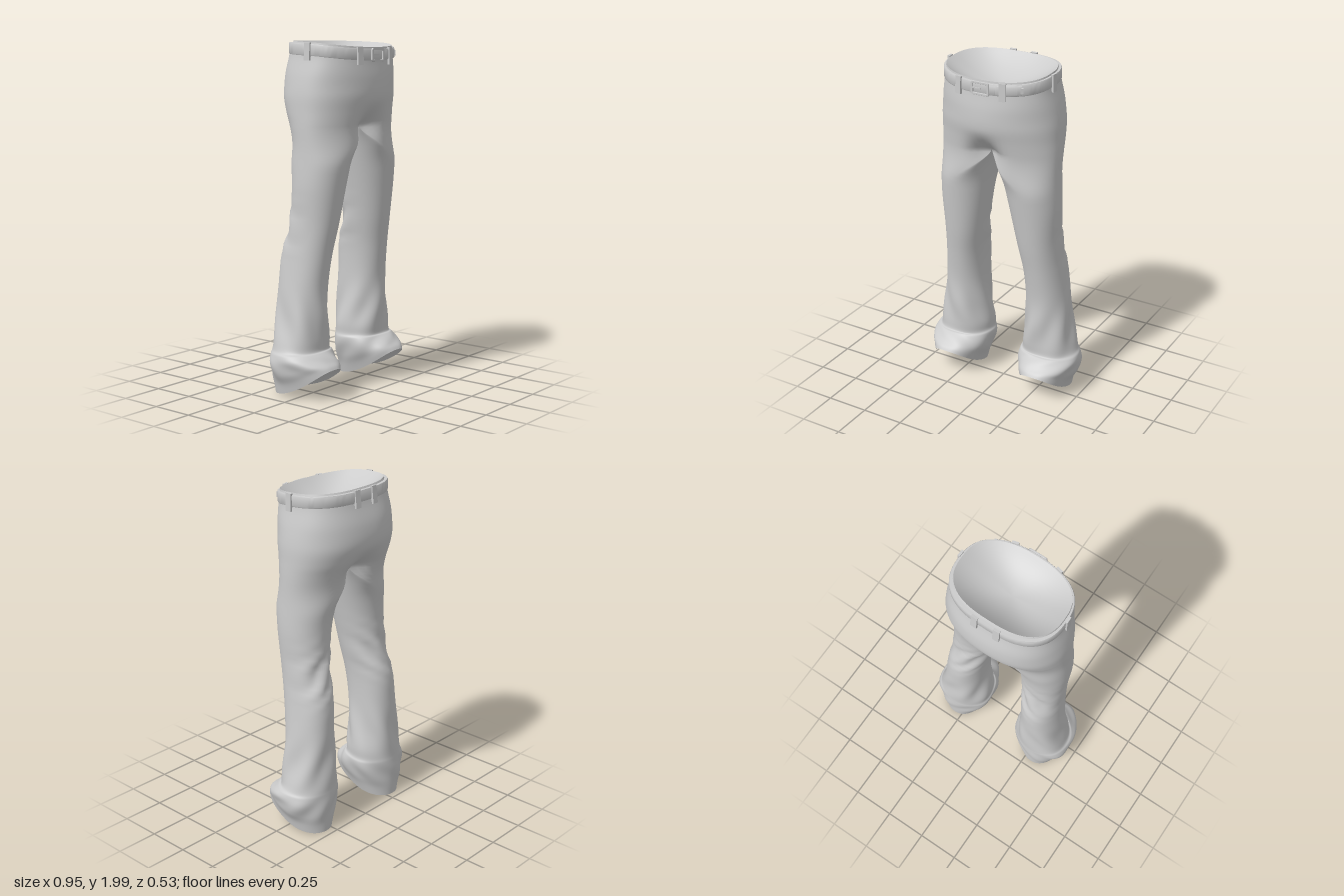
import * as THREE from 'three';
import { mergeVertices, mergeGeometries, toCreasedNormals } from 'three/addons/utils/BufferGeometryUtils.js';

const cloth = new THREE.MeshStandardMaterial({ color: 0xcccccc, side: THREE.DoubleSide });
const SEG = 72, SUB = 6, CROTCH = 13;

// [height at back, inner x, outer x, back z, front z, extra height at front]
const ROWS = [
  [0.003, 0.168, 0.425, -0.21, 0.195, 0.175],
  [0.06, 0.152, 0.438, -0.213, 0.182, 0.137],
  [0.12, 0.13, 0.462, -0.216, 0.158, 0.097],
  [0.19, 0.112, 0.478, -0.216, 0.122, 0.055],
  [0.24, 0.11, 0.468, -0.215, 0.102, 0.02],
  [0.27, 0.12, 0.45, -0.213, 0.087, 0],
  [0.33, 0.122, 0.436, -0.21, 0.088, 0],
  [0.45, 0.14, 0.412, -0.205, 0.09, 0],
  [0.62, 0.15, 0.393, -0.2, 0.092, 0],
  [0.8, 0.143, 0.375, -0.19, 0.115, 0],
  [0.98, 0.118, 0.362, -0.142, 0.146, 0],
  [1.2, 0.076, 0.369, -0.13, 0.178, 0],
  [1.4, 0.032, 0.363, -0.16, 0.207, 0],
  [1.53, 0, 0.364, -0.205, 0.228, 0],
  [1.61, 0, 0.363, -0.24, 0.243, 0],
  [1.7, 0, 0.36, -0.265, 0.26, 0],
  [1.8, 0, 0.346, -0.258, 0.26, -0.01],
  [1.9, 0, 0.325, -0.23, 0.25, -0.025],
  [1.96, 0, 0.317, -0.215, 0.246, -0.035],
  [1.997, 0, 0.309, -0.198, 0.242, -0.035],
];

const smooth = THREE.MathUtils.smoothstep;
const bell = (v, mid, width) => Math.exp(-(((v - mid) / width) ** 2));
const power = (v, n) => Math.sign(v) * Math.abs(v) ** (2 / n);
const lift = (s, amount) => amount * ((s + 1) / 2) ** 2;

// smooth interpolation down the table of rows
function rowAt(k) {
  const i = Math.min(Math.floor(k), ROWS.length - 2), f = k - i;
  const get = (j) => ROWS[THREE.MathUtils.clamp(j, 0, ROWS.length - 1)];
  return ROWS[0].map((_, c) => {
    const [a, b, d, e] = [get(i - 1)[c], get(i)[c], get(i + 1)[c], get(i + 2)[c]];
    return b + 0.5 * f * (d - a + f * (2 * a - 5 * b + 4 * d - e + f * (3 * (b - d) + e - a)));
  });
}

// outline of the hips, growing squarer toward the waist
function hipXZ(t, y, xo, zb, zf) {
  const c = Math.cos(t), s = Math.sin(t);
  const n = 2.15 + 0.35 * smooth(y, 1.72, 1.93) - 0.15 * s;
  return [xo * power(c, n), (zb + zf) / 2 + ((zf - zb) / 2) * power(s, n)];
}

// the centre seam turns under at the crotch
function tuck(x, y, z, cz, fade) {
  const under = (1 - THREE.MathUtils.clamp((y - 1.53) / 0.15, 0, 1)) ** 2;
  return cz + (z - cz) * (1 - 0.45 * bell(x, 0, 0.085) * under * fade);
}

function hipPoint(t, row) {
  const [y, , xo, zb, zf, up] = row;
  const [x, z] = hipXZ(t, y, xo, zb, zf);
  return [x, y + lift(Math.sin(t), up), tuck(x, y, z, (zb + zf) / 2, 1)];
}

function legPoint(t, row) {
  const [y, xi, xo, zb, zf, up] = row;
  const c = Math.cos(t), s = Math.sin(t), w = smooth(y, 1.3, 1.53), cz = (zb + zf) / 2;
  // blend from half a hip outline at the crotch to a round leg, boxier at the front hem
  const n = 2.2 - 0.15 * smooth(y, 0.9, 1.3) + 0.6 * (1 - smooth(y, 0.04, 0.25)) * smooth(s, -0.5, 0.6);
  const hip = hipXZ(t, y, xo, zb, zf);
  let x = (xi + xo) / 2 + ((xo - xi) / 2) * power(c, n);
  let z = cz + ((zf - zb) / 2) * power(s, n);
  // wrinkles behind the knee, creases on the shin, waves at the cuff
  const fold = 0.007 * bell(y, 0.97, 0.12) * Math.max(0, 0.4 - s) * Math.sin(y * 48 + c * 6 + 1.5 * Math.sin(y * 23))
    + 0.008 * bell(y, 0.42, 0.13) * Math.sin(5 * t + y * 12)
    + 0.005 * bell(y, 0.16, 0.08) * Math.sin(6 * t + y * 25);
  x += fold * c;
  z += fold * s;
  x += (Math.max(xi, hip[0]) - x) * w;
  z += (hip[1] - z) * w;
  return [x, y + lift(power(s, n), up), tuck(x, y, z, cz, w)];
}

// surface through a grid of points; v counts upward, u runs around
function grid(nu, nv, point, flip = false) {
  const pos = [], idx = [];
  for (let v = 0; v <= nv; v++) for (let u = 0; u <= nu; u++) pos.push(...point(u / nu, v));
  for (let v = 0; v < nv; v++) for (let u = 0; u < nu; u++) {
    const a = v * (nu + 1) + u, b = a + 1, d = a + nu + 1, e = d + 1;
    idx.push(...(flip ? [a, b, d, b, e, d] : [a, d, b, b, d, e]));
  }
  const g = new THREE.BufferGeometry();
  g.setAttribute('position', new THREE.Float32BufferAttribute(pos, 3));
  g.setIndex(idx);
  return g;
}

// curved sheet closing a rim, pushed up or down toward its centre
function dish(rim, centre, depth, flip) {
  const g = mergeVertices(grid(SEG, 12, (u, v) => {
    const r = 1 - v / 12, p = rim(u * 2 * Math.PI);
    const q = p.map((k, i) => centre[i] + (k - centre[i]) * r);
    q[1] += depth * (1 - r * r);
    return q;
  }, flip), 1e-5);
  g.computeVertexNormals();
  return g;
}

// point around the waist, moved outward by off and up by h
function waistPoint(t, off, h) {
  const [x, z] = hipXZ(t, 1.957, 0.314 + off, -0.215 - off, 0.245 + off);
  return new THREE.Vector3(x, 1.957 + h + lift(Math.sin(t), -0.037), z);
}

// strap with a rounded profile between two angles
function strap(t0, t1, off, half) {
  const profile = [[-0.008, -half], [off - 0.003, -half], [off, -half + 0.006],
    [off, half - 0.006], [off - 0.003, half], [-0.008, half]];
  const g = grid(96, profile.length - 1, (u, v) =>
    waistPoint(t0 + (t1 - t0) * u, ...profile[v]).toArray());
  return toCreasedNormals(g, 0.7);
}

export function createModel() {
  const model = new THREE.Group();
  const add = (name, geometry) => {
    const m = new THREE.Mesh(geometry, cloth);
    m.name = name;
    model.add(m);
    return m;
  };

  // hips and both legs as one seamless cloth
  const split = CROTCH * SUB, total = (ROWS.length - 1) * SUB;
  const legSide = (side, t, row) => {
    const p = legPoint(t, row);
    return [side * p[0], p[1], p[2]];
  };
  const leg = (side) => grid(SEG, split, (u, v) =>
    legSide(side, u * 2 * Math.PI, rowAt(v / SUB)), side < 0);
  const hips = grid(SEG, total - split, (u, v) => hipPoint(u * 2 * Math.PI, rowAt((v + split) / SUB)));
  const body = mergeVertices(mergeGeometries([leg(1), leg(-1), hips]), 1e-4);
  body.computeVertexNormals();
  add('trousers', body);

  // shallow linings inside the waist and the hems
  add('waistLining', dish((t) => hipPoint(t, ROWS[ROWS.length - 1]), [0, 1.98, 0.02], -0.11, false));
  for (const side of [1, -1]) {
    add('hemLining', dish((t) => legSide(side, t, ROWS[0]), [side * 0.296, 0.075, -0.008], 0.07, side > 0));
  }

  // belt and its overlapping tail
  add('belt', strap(0, Math.PI * 2, 0.011, 0.032));
  const angleAt = (x) => Math.acos((x / 0.326) ** 1.18);
  add('beltTail', strap(angleAt(0.23), angleAt(0.05), 0.015, 0.027));

  // belt loops, turned to follow the waist and leaning out at the bottom
  const loop = (name, t, w, h, d, drop, lean) => {
    const m = add(name, new THREE.BoxGeometry(w, h, d));
    const a = waistPoint(t - 0.02, 0.013, -drop), b = waistPoint(t + 0.02, 0.013, -drop);
    m.position.copy(a).add(b).multiplyScalar(0.5);
    m.rotation.set(-lean, Math.atan2(b.z - a.z, a.x - b.x), 0, 'YXZ');
  };
  const front = angleAt(0.135), back = angleAt(0.055);
  for (const t of [0.03, Math.PI - 0.03, front, Math.PI - front, -back, Math.PI + back]) {
    loop('beltLoop', t, 0.038, 0.098, 0.014, 0.009, t < 0 || t > Math.PI ? 0.12 : 0.03);
  }
  loop('beltKeeper', angleAt(0.23), 0.014, 0.03, 0.014, 0, 0);

  // buckle frame with prong
  const frame = (s, w, h, r) => {
    s.absarc(w - r, h - r, r, 0, Math.PI / 2);
    s.absarc(r - w, h - r, r, Math.PI / 2, Math.PI);
    s.absarc(r - w, r - h, r, Math.PI, Math.PI * 1.5);
    s.absarc(w - r, r - h, r, Math.PI * 1.5, Math.PI * 2);
    return s;
  };
  const shape = frame(new THREE.Shape(), 0.054, 0.036, 0.012);
  shape.holes.push(frame(new THREE.Path(), 0.045, 0.027, 0.006));
  const buckle = add('buckle', new THREE.ExtrudeGeometry(shape,
    { depth: 0.006, bevelSize: 0.002, bevelThickness: 0.002, bevelSegments: 2, curveSegments: 5 }));
  buckle.position.set(0.006, 1.919, 0.256);
  add('buckleProng', new THREE.BoxGeometry(0.055, 0.007, 0.006)).position.set(-0.015, 1.919, 0.261);

  return model;
}
